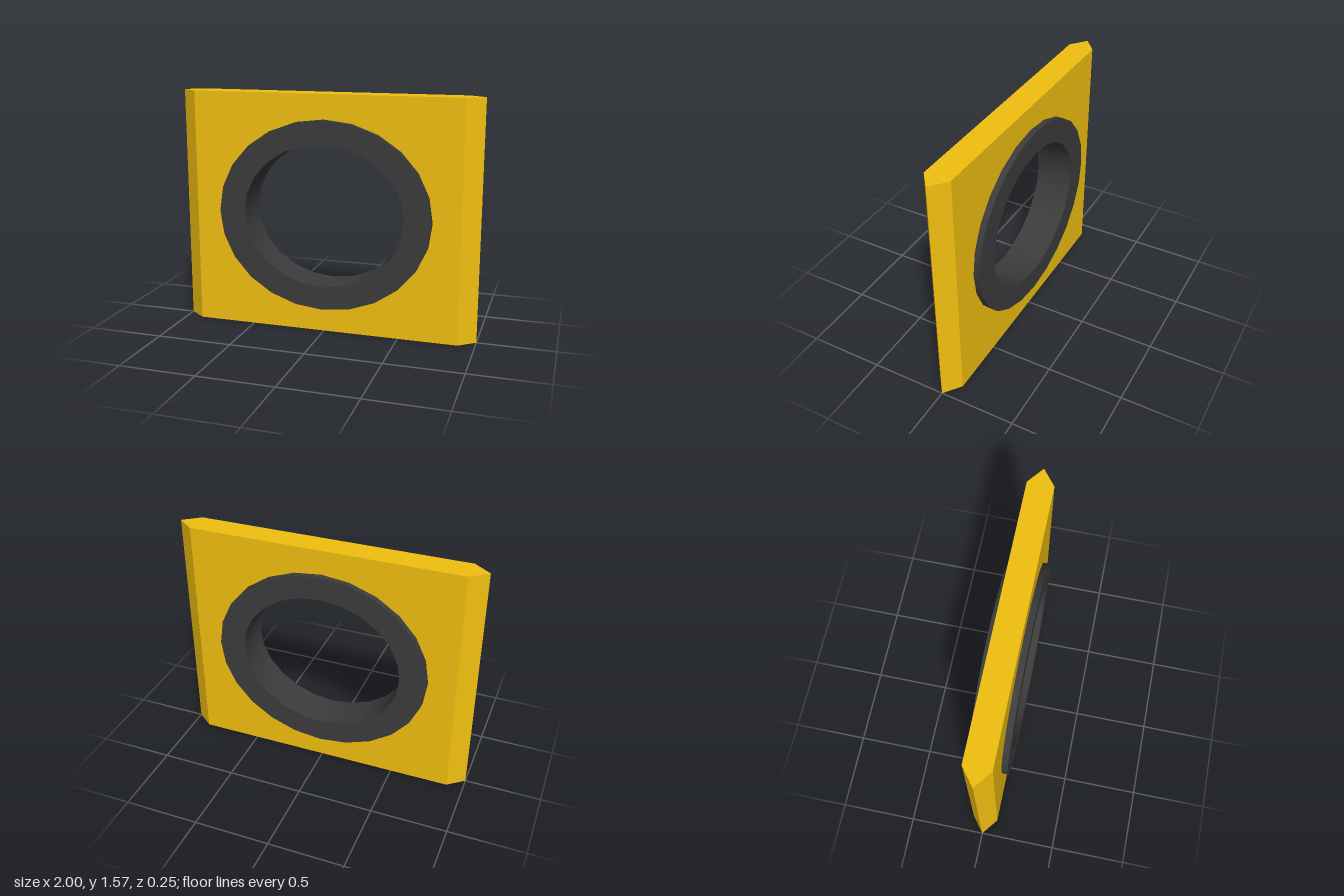
import * as THREE from 'three';
import { toCreasedNormals } from 'three/addons/utils/BufferGeometryUtils.js';

const HEIGHT = 1.57, CENTER_Y = HEIGHT / 2;
const PLATE_DEPTH = 0.17, RING_DEPTH = 0.25;
const FACE_X = 0.89, TIP_X = 1;

// 24-sided ellipse outline
function ellipse(rx, ry) {
  return Array.from({ length: 24 }, (_, i) => {
    const a = (i / 24) * Math.PI * 2;
    return new THREE.Vector2(Math.cos(a) * rx, Math.sin(a) * ry);
  });
}

// Outline with an oval hole, extruded and centred on z = 0
function pierced(outline, hole, depth, steps) {
  const shape = new THREE.Shape(outline);
  shape.holes.push(new THREE.Path(hole));
  const geometry = new THREE.ExtrudeGeometry(shape, { depth, steps, bevelEnabled: false });
  return geometry.translate(0, 0, -depth / 2);
}

function addPart(group, name, geometry, color) {
  const mesh = new THREE.Mesh(geometry, new THREE.MeshStandardMaterial({ color }));
  mesh.name = name;
  mesh.position.y = CENTER_Y;
  group.add(mesh);
}

export function createModel() {
  const group = new THREE.Group();
  group.name = 'ringedPlate';

  // Plate: the middle of each side edge is pulled out to a point
  const h = HEIGHT / 2;
  const corners = [[-1, -1], [1, -1], [1, 1], [-1, 1]]
    .map(([x, y]) => new THREE.Vector2(x * FACE_X, y * h));
  const plate = pierced(corners, ellipse(0.62, 0.55), PLATE_DEPTH, 2);
  const pos = plate.attributes.position;
  for (let i = 0; i < pos.count; i++) {
    const x = pos.getX(i);
    if (Math.abs(pos.getZ(i)) < 0.001 && Math.abs(x) > FACE_X - 0.01) {
      pos.setX(i, Math.sign(x) * TIP_X);
    }
  }
  plate.computeVertexNormals();
  addPart(group, 'plate', plate, 0xf2c010);

  // Oval ring standing proud of both faces
  const ring = pierced(ellipse(0.71, 0.625), ellipse(0.535, 0.47), RING_DEPTH, 1);
  addPart(group, 'ring', toCreasedNormals(ring, 0.6), 0x3c3c3c);

  return group;
}
